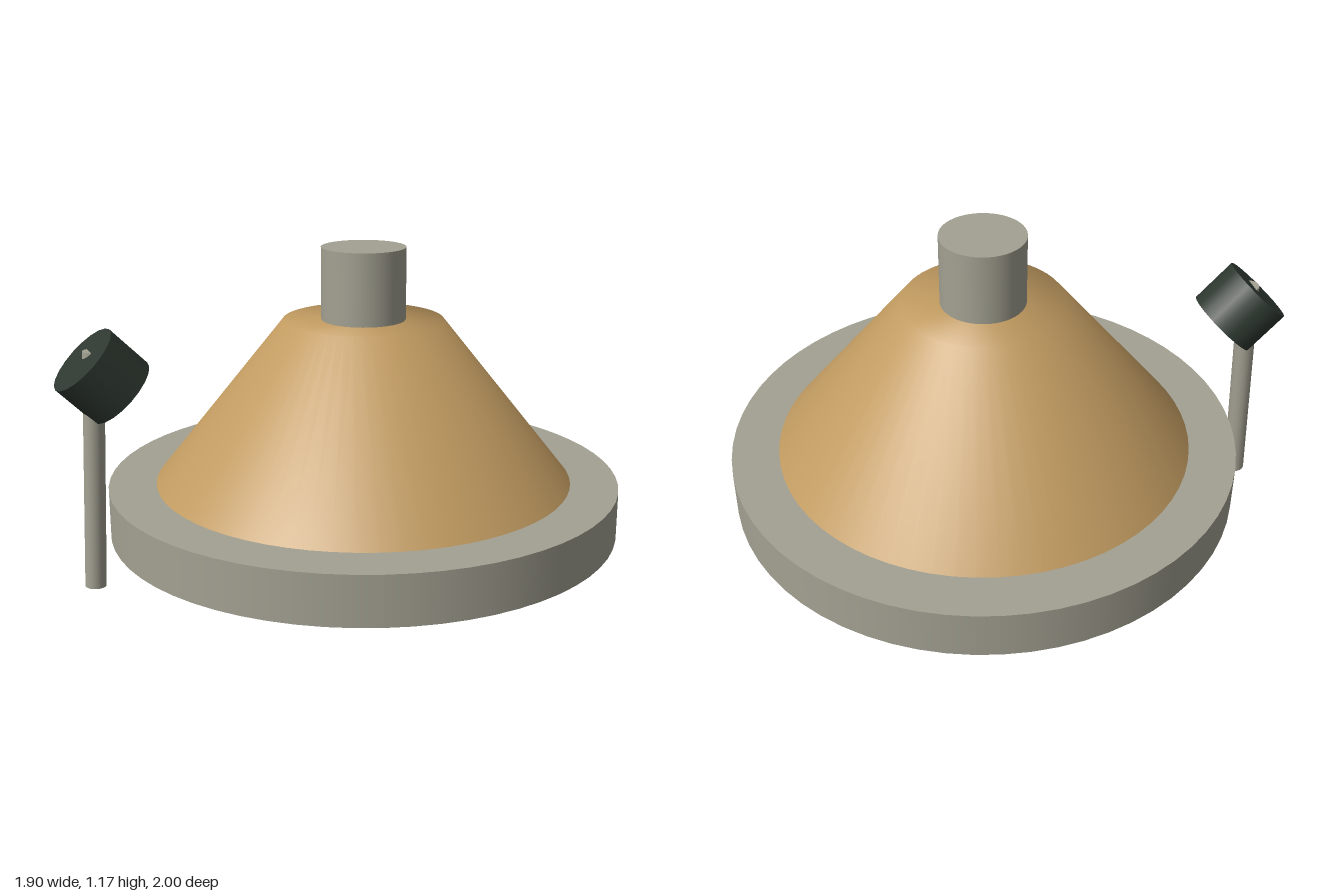
import * as THREE from 'three';

export function createModel() {
  const model = new THREE.Group();
  const material = (name, color) => {
    const m = new THREE.MeshStandardMaterial({ color });
    m.name = name;
    return m;
  };
  const stone = material('warm grey', 0xa3a192);
  const wood = material('tan', 0xc09a60);
  const rubber = material('dark green', 0x2e3830);

  const add = (name, geometry, mat) => {
    const mesh = new THREE.Mesh(geometry, mat);
    mesh.name = name;
    model.add(mesh);
    return mesh;
  };
  // Solid cylinder running between two points
  const rodBetween = (name, a, b, radius, sides, mat) => {
    const axis = b.clone().sub(a);
    const mesh = add(name, new THREE.CylinderGeometry(radius, radius, axis.length(), sides), mat);
    mesh.position.copy(a).add(b).multiplyScalar(0.5);
    mesh.quaternion.setFromUnitVectors(new THREE.Vector3(0, 1, 0), axis.normalize());
    return mesh;
  };
  const v = (x, y, z) => new THREE.Vector3(x, y, z);
  const axisZ = -0.05;

  // Round base plate and top stub share the main axis
  rodBetween('basePlate', v(0, 0.12, axisZ), v(0, 0.3, axisZ), 0.95, 64, stone);
  rodBetween('topStub', v(0, 0.85, axisZ), v(0, 1.165, axisZ), 0.155, 48, stone);

  // Truncated cone, shaded smoothly over its top rim
  const profile = [[0.775, 0.3], [0.295, 0.9], [0, 0.9]].map(([r, y]) => new THREE.Vector2(r, y));
  add('coneBody', new THREE.LatheGeometry(profile, 64), wood).position.z = axisZ;

  // Slightly leaning rod whose tip just breaks through the knob
  rodBetween('sideRod', v(-0.39, 0, 0.898), v(-0.38, 0.86, 0.86), 0.038, 16, stone);
  rodBetween('knob', v(-0.347, 0.705, 0.78), v(-0.388, 0.835, 0.9), 0.138, 20, rubber);

  return model;
}
